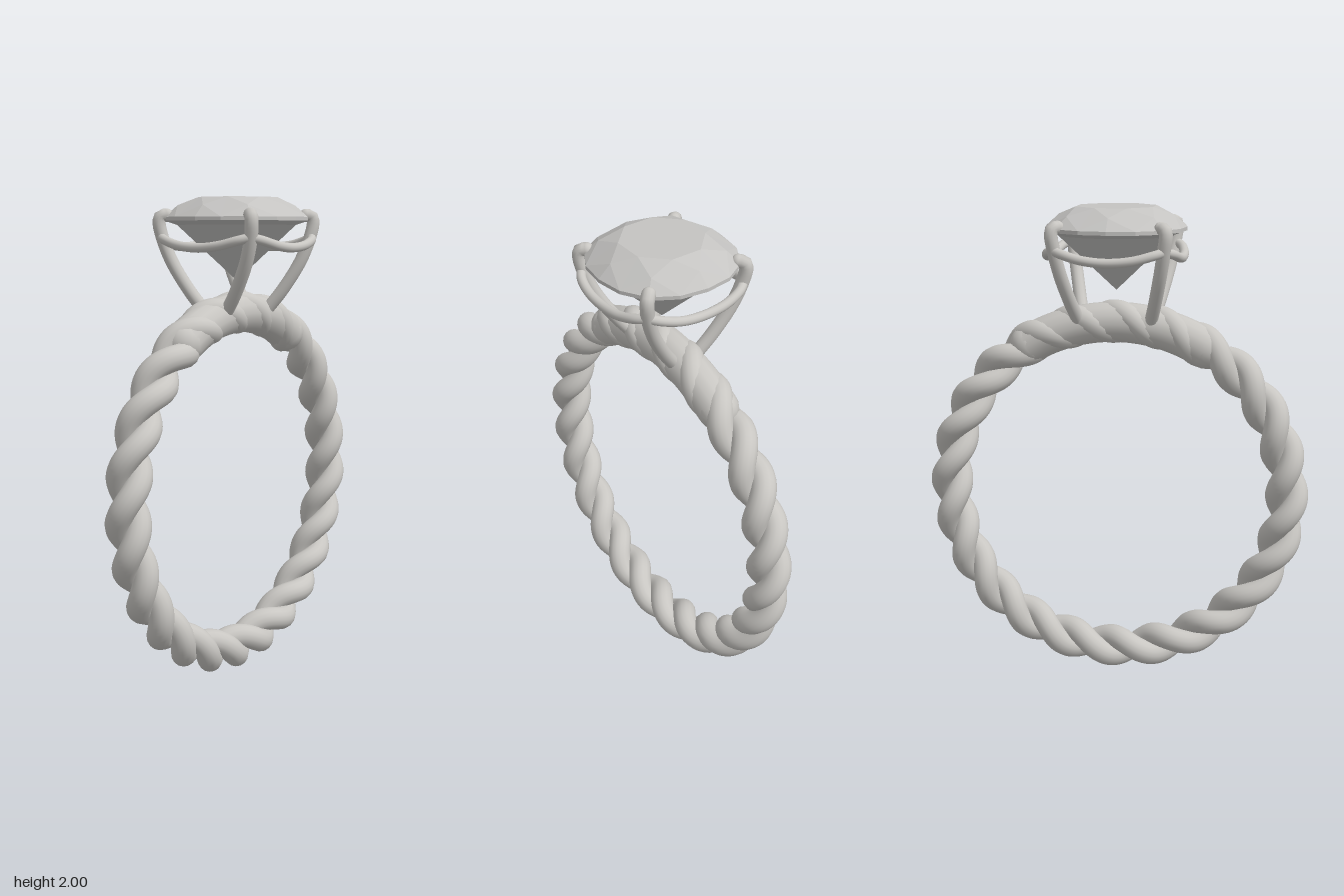
import * as THREE from 'three';

const metal = new THREE.MeshStandardMaterial({ color: 0xc8c6c2 });
metal.name = 'metal';
const gemMaterial = new THREE.MeshStandardMaterial({ color: 0xc4c3c1, flatShading: true });
gemMaterial.name = 'gem';

const CENTRE_Y = 0.81, RING_R = 0.72, TWISTS = 12;

// Point on the ring plane; angle runs clockwise from the top
const ringPoint = (a, r, z = 0) => new THREE.Vector3(Math.sin(a) * r, CENTRE_Y + Math.cos(a) * r, z);

class StrandCurve extends THREE.Curve {
  constructor(phase) { super(); this.phase = phase; }
  getPoint(t, target = new THREE.Vector3()) {
    const a = t * Math.PI * 2, p = TWISTS * a + this.phase;
    return target.copy(ringPoint(a, RING_R + 0.039 * Math.cos(p), 0.039 * Math.sin(p)));
  }
}

function mesh(name, geometry, material = metal) {
  const m = new THREE.Mesh(geometry, material);
  m.name = name;
  return m;
}

// Tube through points with rounded ends
function wire(name, points, radius, segments = 32) {
  const g = new THREE.Group();
  g.name = name;
  const curve = new THREE.CatmullRomCurve3(points);
  g.add(mesh(name + 'Tube', new THREE.TubeGeometry(curve, segments, radius, 14)));
  for (const p of [points[0], points[points.length - 1]]) {
    const cap = mesh(name + 'End', new THREE.SphereGeometry(radius, 16, 12));
    cap.position.copy(p);
    g.add(cap);
  }
  return g;
}

// Brilliant cut with a softly squared outline
function gemGeometry() {
  const v = [];
  const pt = (step, r, y) => {
    const a = step * Math.PI / 8;
    const k = r * (1 + 0.045 * Math.sin(2 * a) ** 2);
    return [Math.sin(a) * k, y, Math.cos(a) * k];
  };
  const tri = (a, b, c) => v.push(...a, ...b, ...c);
  const table = i => pt(i, 0.165, 2.0);
  const crown = i => pt(i, 0.235, 1.967);
  const girdle = i => pt(i, 0.288, 1.92);
  const lower = i => pt(i, 0.288, 1.905);
  const pavilion = i => pt(i, 0.238, 1.888);
  const culet = [0, 1.66, 0];
  for (let i = 0; i < 16; i += 2) {
    // Table and star facets
    tri([0, 2.0, 0], table(i - 1), table(i + 1));
    tri(table(i - 1), crown(i), table(i + 1));
    // Kite facet
    tri(table(i + 1), crown(i), girdle(i + 1));
    tri(table(i + 1), girdle(i + 1), crown(i + 2));
    // Upper girdle facets
    tri(crown(i), girdle(i - 1), girdle(i));
    tri(crown(i), girdle(i), girdle(i + 1));
  }
  for (let i = 0; i < 16; i++) {
    // Girdle edge and pavilion
    tri(girdle(i), lower(i), lower(i + 1));
    tri(girdle(i), lower(i + 1), girdle(i + 1));
    tri(lower(i), pavilion(i), pavilion(i + 1));
    tri(lower(i), pavilion(i + 1), lower(i + 1));
    tri(pavilion(i), culet, pavilion(i + 1));
  }
  const g = new THREE.BufferGeometry();
  g.setAttribute('position', new THREE.Float32BufferAttribute(v, 3));
  g.computeVertexNormals();
  return g;
}

export function createModel() {
  const model = new THREE.Group();
  model.name = 'ring';

  // Two strands twisted into a rope
  [0, Math.PI].forEach((phase, i) => model.add(
    mesh('ropeStrand' + (i + 1), new THREE.TubeGeometry(new StrandCurve(phase), 480, 0.051, 16, true))));

  // Smooth shoulder along the top
  const arc = [];
  for (let i = -6; i <= 6; i++) arc.push(ringPoint(i / 6 * 0.54, 0.717));
  model.add(wire('shoulder', arc, 0.083, 48));

  // Four prongs hooked over the stone
  for (const sx of [-1, 1]) for (const sz of [-1, 1]) {
    const path = [[0.15, 1.54, 0.055], [0.172, 1.62, 0.115], [0.2, 1.74, 0.185], [0.218, 1.84, 0.22],
      [0.226, 1.9, 0.229], [0.222, 1.922, 0.224], [0.204, 1.927, 0.206]];
    model.add(wire('prong', path.map(([x, y, z]) => new THREE.Vector3(sx * x, y, sz * z)), 0.027));
  }

  // Sagging rails between neighbouring prongs
  for (let i = 0; i < 4; i++) {
    const path = [[-0.222, 1.838, 0.222], [-0.18, 1.826, 0.25], [-0.1, 1.806, 0.268], [0, 1.797, 0.271],
      [0.1, 1.806, 0.268], [0.18, 1.826, 0.25], [0.222, 1.838, 0.222]];
    const rail = wire('rail', path.map(p => new THREE.Vector3(...p)), 0.019);
    rail.rotation.y = i * Math.PI / 2;
    model.add(rail);
  }

  model.add(mesh('stone', gemGeometry(), gemMaterial));
  return model;
}
